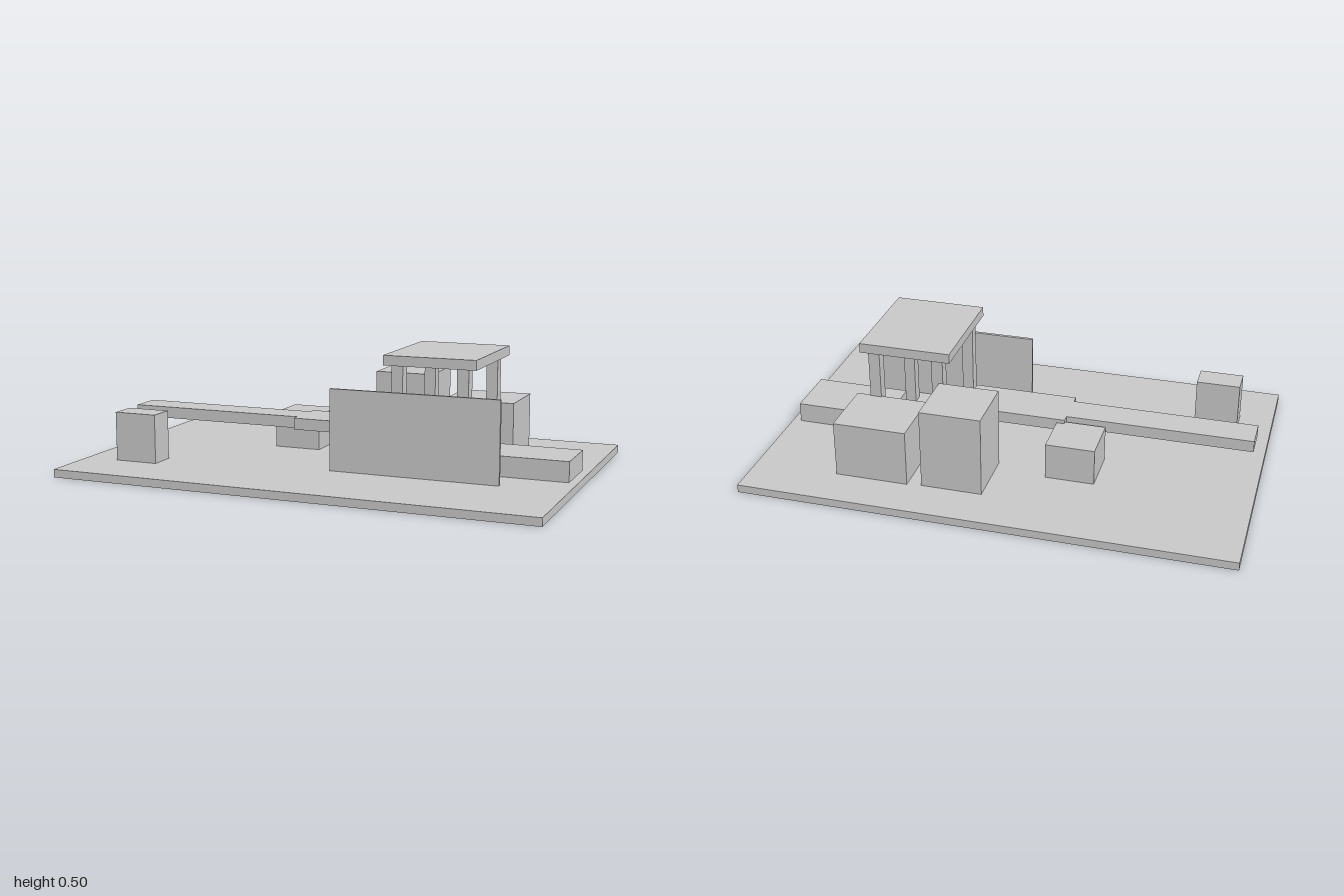
import * as THREE from 'three';

export function createModel() {
  const model = new THREE.Group();
  model.name = 'productionCell';
  const grey = new THREE.MeshStandardMaterial({ color: 0xc8c8c8 });
  grey.name = 'light grey';

  // Box given by its extents along x, y and z
  function block(name, [x0, x1], [y0, y1], [z0, z1], parent = model) {
    const mesh = new THREE.Mesh(new THREE.BoxGeometry(x1 - x0, y1 - y0, z1 - z0), grey);
    mesh.name = name;
    mesh.position.set((x0 + x1) / 2, (y0 + y1) / 2, (z0 + z1) / 2);
    parent.add(mesh);
  }

  const floor = 0.033;
  block('basePlate', [-1, 1], [0, floor], [-0.667, 0.667]);

  // Raised beams leading to the canopy
  block('narrowConveyor', [-0.967, -0.2], [0.152, 0.2], [-0.067, 0.067]);
  block('wideConveyor', [-0.2, 0.233], [0.152, 0.2], [-0.1, 0.1]);

  // Low table on the far side of the canopy
  block('outputTable', [0.563, 0.965], [floor, 0.116], [-0.117, 0.117]);

  // Canopy: flat roof on four posts
  const canopy = new THREE.Group();
  canopy.name = 'canopy';
  model.add(canopy);
  const half = 0.0235;
  for (const x of [0.299, 0.567]) {
    for (const z of [-0.2, 0.2]) {
      block('canopyPost', [x - half, x + half], [floor, 0.464], [z - half, z + half], canopy);
    }
  }
  block('canopyRoof', [0.243, 0.623], [0.464, 0.504], [-0.233, 0.233], canopy);

  // Thin screen in front of the canopy
  block('guardScreen', [0.033, 0.732], [floor, 0.365], [0.26, 0.273]);

  // Free-standing cabinets
  block('tallCabinet', [0.042, 0.292], [floor, 0.365], [-0.475, -0.224]);
  block('wideCabinet', [0.35, 0.65], [floor, 0.266], [-0.483, -0.217]);
  block('lowCabinet', [-0.368, -0.167], [floor, 0.184], [-0.284, -0.084]);
  block('controlCabinet', [-0.858, -0.676], [floor, 0.234], [0.311, 0.42]);

  return model;
}
